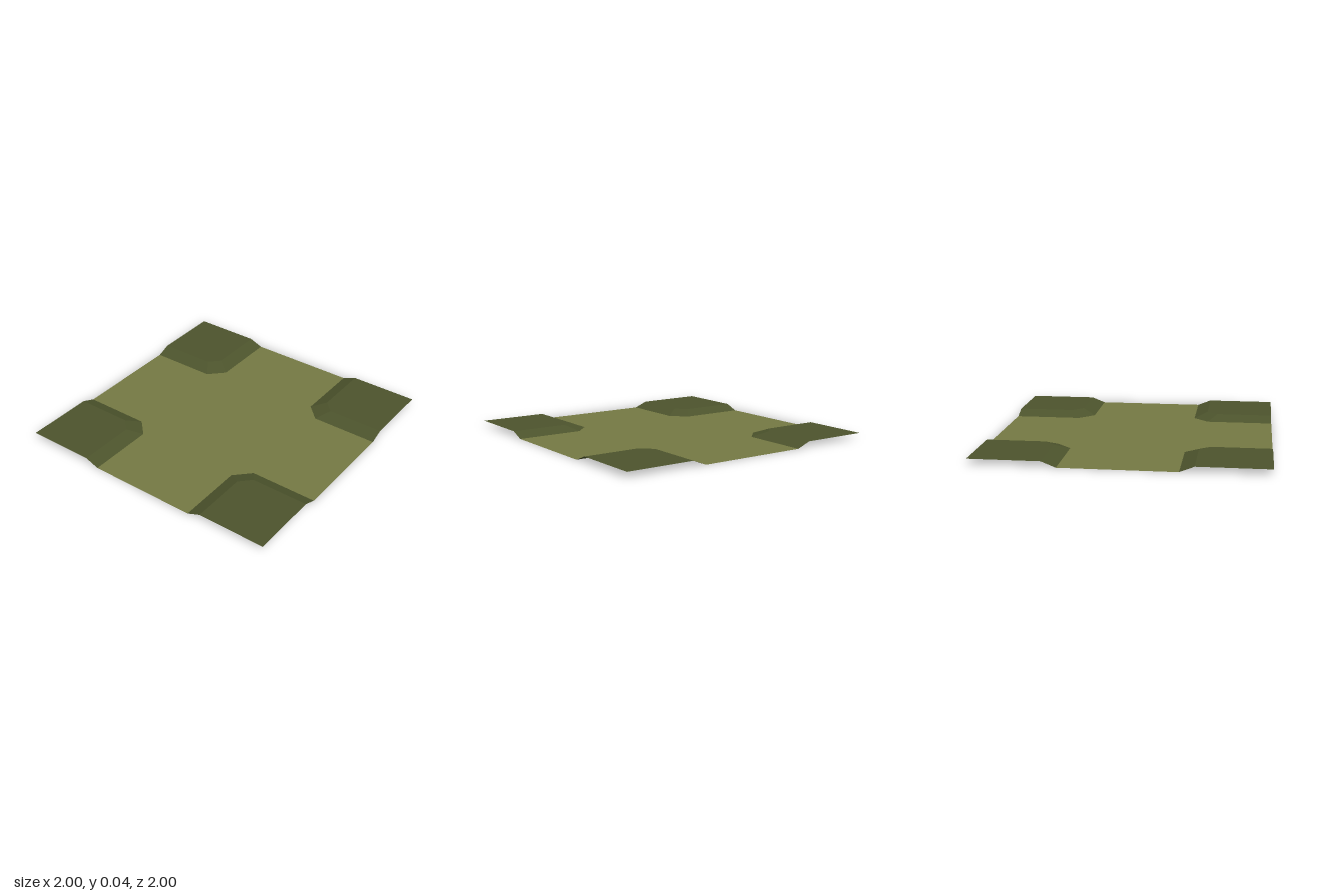
import * as THREE from 'three';

const H = 0.04; // height of the raised corners

export function createModel() {
  const model = new THREE.Group();
  const roadMat = new THREE.MeshStandardMaterial({ color: 0x747843, side: THREE.DoubleSide, flatShading: true });
  roadMat.name = 'olive road';
  const grassMat = new THREE.MeshStandardMaterial({ color: 0x4c532c, side: THREE.DoubleSide, flatShading: true });
  grassMat.name = 'dark green grass';

  // Outlines of one corner as [x, z]: foot of the bank and its upper edge
  const foot = [[1, 0.4], [0.51, 0.4], [0.4, 0.51], [0.4, 1]];
  const crest = [[1, 0.5], [0.58, 0.5], [0.5, 0.58], [0.5, 1]];

  // Flat sheet in the ground plane from an [x, z] outline
  const sheet = (points, y) => {
    const shape = new THREE.Shape(points.map(([x, z]) => new THREE.Vector2(x, -z)));
    return new THREE.ShapeGeometry(shape).rotateX(-Math.PI / 2).translate(0, y, 0);
  };

  // Sloping strip between foot and crest, facing up and outwards
  const bankGeometry = () => {
    const pos = [];
    for (let i = 0; i < foot.length - 1; i++) {
      const a = [foot[i][0], 0, foot[i][1]];
      const b = [foot[i + 1][0], 0, foot[i + 1][1]];
      const c = [crest[i + 1][0], H, crest[i + 1][1]];
      const d = [crest[i][0], H, crest[i][1]];
      pos.push(...a, ...b, ...c, ...a, ...c, ...d);
    }
    const geo = new THREE.BufferGeometry();
    geo.setAttribute('position', new THREE.Float32BufferAttribute(pos, 3));
    geo.computeVertexNormals();
    return geo;
  };

  // Crossroads: the foot outline repeated around the four quarters
  const roadOutline = [];
  for (let k = 0; k < 4; k++) {
    for (const [x, z] of foot) {
      let p = [x, z];
      for (let n = 0; n < k; n++) p = [-p[1], p[0]];
      roadOutline.push(p);
    }
  }
  const road = new THREE.Mesh(sheet(roadOutline, 0), roadMat);
  road.name = 'crossroads';
  model.add(road);

  // Four raised grass corners, open underneath
  const bank = bankGeometry();
  const plateau = sheet([...crest, [1, 1]], H);
  ['frontLeft', 'backLeft', 'backRight', 'frontRight'].forEach((name, k) => {
    const corner = new THREE.Group();
    corner.name = name + 'Corner';
    const slope = new THREE.Mesh(bank, grassMat);
    slope.name = 'bank';
    const top = new THREE.Mesh(plateau, grassMat);
    top.name = 'plateau';
    corner.add(slope, top);
    corner.rotation.y = k * Math.PI / 2;
    model.add(corner);
  });

  return model;
}
